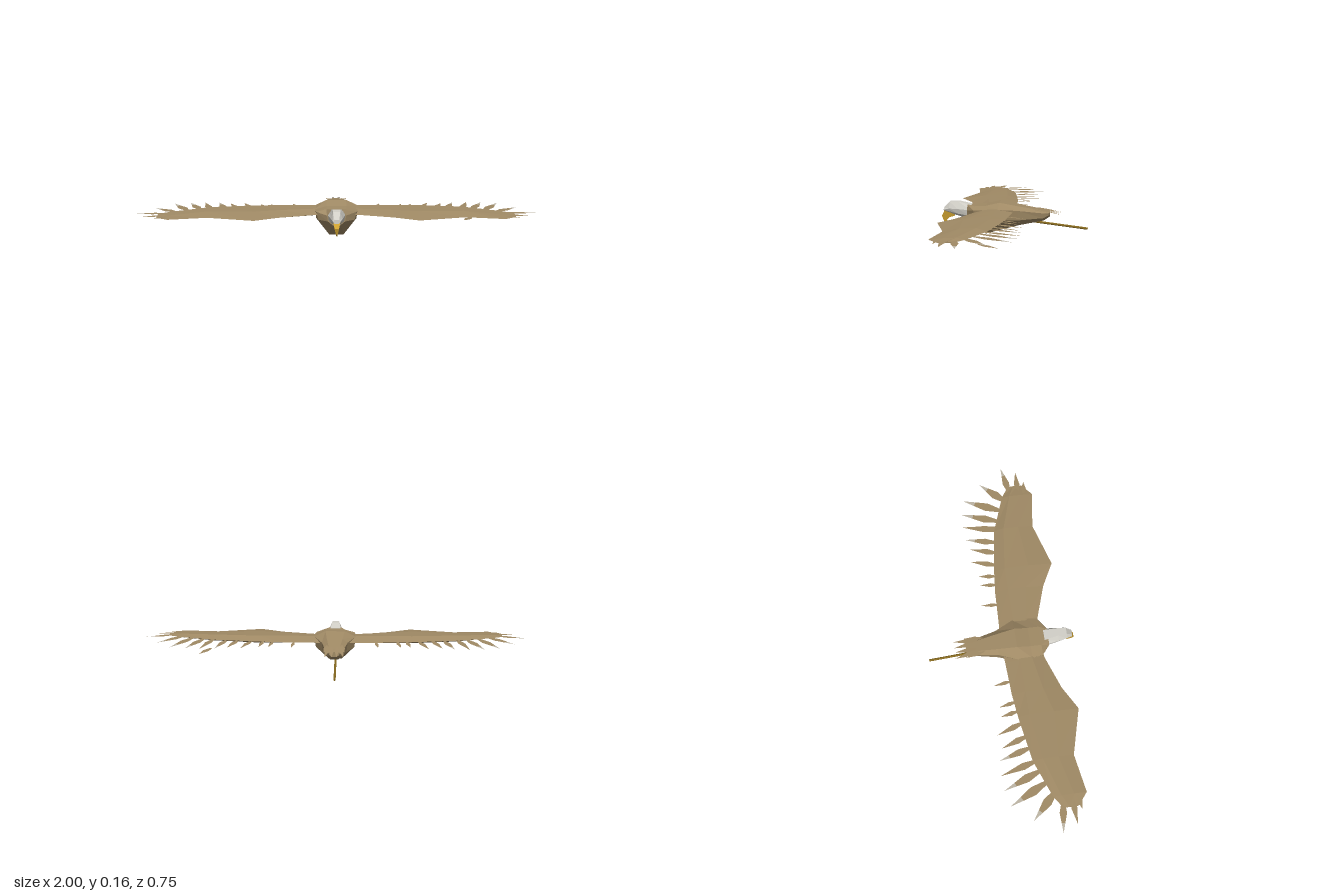
import * as THREE from 'three';

const mat = (name, color, side = THREE.FrontSide) => {
  const m = new THREE.MeshStandardMaterial({ color, side });
  m.name = name;
  return m;
};

// Faceted skin over equal-length rings of [x, y, z], capped at both ends
function loft(rings) {
  const pos = [];
  const tri = (a, b, c) => pos.push(...a, ...b, ...c);
  const n = rings[0].length;
  for (let r = 0; r < rings.length - 1; r++) {
    for (let i = 0; i < n; i++) {
      const j = (i + 1) % n;
      const [a, b, c, d] = [rings[r][i], rings[r][j], rings[r + 1][j], rings[r + 1][i]];
      tri(a, b, c);
      tri(a, c, d);
    }
  }
  const first = rings[0], last = rings[rings.length - 1];
  for (let i = 1; i < n - 1; i++) {
    tri(first[0], first[i + 1], first[i]);
    tri(last[0], last[i], last[i + 1]);
  }
  const g = new THREE.BufferGeometry();
  g.setAttribute('position', new THREE.Float32BufferAttribute(pos, 3));
  g.computeVertexNormals();
  return g;
}

// Symmetric ring at z from a half profile running top to bottom
const ringAt = ([z, ...half]) => [
  ...half.map(([x, y]) => [x, y, z]),
  ...half.slice().reverse().map(([x, y]) => [-x, y, z]),
];

// Thin pointed feather from base to tip; group 0 is the vane, group 1 the tip
function feather(base, tip, width) {
  const a = new THREE.Vector3(...base), b = new THREE.Vector3(...tip);
  const side = new THREE.Vector3(b.z - a.z, 0, a.x - b.x).normalize();
  const rows = [[0, 0.35], [0.4, 1], [0.7, 0.5], [1, 0]].map(([t, w]) => {
    const p = a.clone().lerp(b, t);
    const s = side.clone().multiplyScalar(w * width / 2);
    return [p.clone().add(s).toArray(), p.clone().sub(s).toArray()];
  });
  const pos = [];
  for (let i = 0; i < 3; i++) {
    const [l0, r0] = rows[i], [l1, r1] = rows[i + 1];
    pos.push(...l0, ...l1, ...r0);
    if (i < 2) pos.push(...r0, ...l1, ...r1);
  }
  const g = new THREE.BufferGeometry();
  g.setAttribute('position', new THREE.Float32BufferAttribute(pos, 3));
  g.computeVertexNormals();
  // Keep the upper side as the front
  if (g.attributes.normal.getY(0) < 0) {
    return feather(base, tip, -width);
  }
  g.addGroup(0, 12, 0);
  g.addGroup(12, 3, 1);
  return g;
}

export function createModel() {
  const model = new THREE.Group();
  model.name = 'bird';
  const brown = mat('brown plumage', 0xa08a65);
  const vane = mat('feather brown', 0xa08a65, THREE.DoubleSide);
  const pale = mat('pale feather tip', 0xbdb5a4, THREE.DoubleSide);
  const white = mat('white head', 0xd2d0c8);
  const yellow = mat('yellow beak', 0xd4a733);
  const ochre = mat('ochre leg', 0x86691f);
  const add = (name, geo, material, parent = model) => {
    const m = new THREE.Mesh(geo, material);
    m.name = name;
    parent.add(m);
    return m;
  };

  // Body, neck to tail stump
  add('body', loft([
    [0.24, [0.028, 0.148], [0.047, 0.12], [0.042, 0.09], [0.015, 0.068]],
    [0.2, [0.05, 0.143], [0.1, 0.13], [0.09, 0.09], [0.03, 0.042]],
    [0.145, [0.05, 0.146], [0.108, 0.13], [0.1, 0.085], [0.035, 0]],
    [0.075, [0.05, 0.163], [0.108, 0.135], [0.1, 0.08], [0.035, 0.02]],
    [-0.02, [0.04, 0.145], [0.066, 0.125], [0.06, 0.075], [0.03, 0.045]],
    [-0.15, [0.025, 0.122], [0.04, 0.11], [0.035, 0.085], [0.018, 0.07]],
    [-0.18, [0.018, 0.117], [0.028, 0.11], [0.024, 0.1], [0.012, 0.09]],
  ].map(ringAt)), brown);

  // Head
  add('head', loft([
    [0.365, [0.012, 0.127], [0.018, 0.118], [0.014, 0.112], [0.008, 0.107]],
    [0.335, [0.017, 0.16], [0.028, 0.125], [0.022, 0.11], [0.01, 0.1]],
    [0.29, [0.02, 0.162], [0.036, 0.125], [0.03, 0.1], [0.012, 0.088]],
    [0.22, [0.027, 0.146], [0.045, 0.12], [0.04, 0.09], [0.015, 0.066]],
  ].map(ringAt)), white);

  // Hooked beak, narrowing downwards
  const outline = [[0.315, 0.108], [0.31, 0.085], [0.335, 0.078], [0.352, 0.064],
    [0.34, 0.041], [0.366, 0.056], [0.376, 0.085], [0.362, 0.113]];
  const beak = new THREE.ExtrudeGeometry(
    new THREE.Shape(outline.map(p => new THREE.Vector2(...p))),
    { depth: 0.032, bevelEnabled: false });
  beak.rotateY(-Math.PI / 2).translate(0.016, 0, 0);
  const bp = beak.attributes.position;
  for (let i = 0; i < bp.count; i++) {
    bp.setX(i, bp.getX(i) * Math.max(0.15, (bp.getY(i) - 0.035) / 0.075));
  }
  beak.computeVertexNormals();
  add('beak', beak, yellow);

  // Wings: x, trailing z, ridge z, leading z, top y, bottom y
  const sections = [
    [0.05, 0, 0.08, 0.2, 0.137, 0.1],
    [0.11, 0.005, 0.08, 0.207, 0.137, 0.1],
    [0.28, 0.012, 0.08, 0.265, 0.137, 0.1],
    [0.4, 0.025, 0.08, 0.33, 0.137, 0.1],
    [0.63, 0.06, 0.11, 0.265, 0.135, 0.103],
    [0.82, 0.13, 0.17, 0.295, 0.125, 0.108],
    [0.88, 0.17, 0.2, 0.245, 0.118, 0.112],
  ];
  // Flight feathers: base x, z, tip x, z, width, pale tip
  const flight = [
    [0.21, 0.02, 0.22, -0.07, 0.02, 0], [0.32, 0.03, 0.335, -0.06, 0.022, 0],
    [0.37, 0.03, 0.385, -0.06, 0.024, 0], [0.43, 0.05, 0.475, -0.09, 0.03, 0],
    [0.5, 0.06, 0.545, -0.08, 0.032, 0], [0.56, 0.07, 0.605, -0.1, 0.034, 1],
    [0.63, 0.09, 0.68, -0.105, 0.036, 0], [0.68, 0.1, 0.755, -0.1, 0.042, 1],
    [0.74, 0.12, 0.835, -0.08, 0.046, 1], [0.79, 0.15, 0.92, 0.02, 0.046, 1],
    [0.84, 0.175, 1, 0.15, 0.036, 1], [0.84, 0.22, 0.965, 0.225, 0.03, 0],
    [0.83, 0.25, 0.9, 0.26, 0.026, 0],
  ];
  for (const s of [1, -1]) {
    const wing = new THREE.Group();
    wing.name = s > 0 ? 'leftWing' : 'rightWing';
    model.add(wing);
    add('wingPanel', loft(sections.map(([x, zt, zr, zl, top, bot]) => {
      const mid = (top + bot) / 2;
      const ring = [[zt, mid], [zr, top], [(zr + zl) / 2, top - 0.004], [zl, mid - 0.003],
        [(zr + zl) / 2, bot], [zr, bot]].map(([z, y]) => [s * x, y, z]);
      return s > 0 ? ring : ring.reverse();
    })), brown, wing);
    flight.forEach(([bx, bz, tx, tz, w, light]) => add('flightFeather',
      feather([s * bx, 0.118, bz], [s * tx, 0.111, tz], w), [vane, light ? pale : vane], wing));
  }

  // Loose feather hanging below the left wing
  add('looseFeather', feather([0.65, 0.064, 0.1], [0.7, 0.056, 0], 0.036), [vane, vane]);

  // Tail fan and short coverts along the rump
  for (const s of [1, -1]) {
    [[0.015, -0.13, 0.012, -0.24, 0.024], [0.028, -0.12, 0.045, -0.24, 0.026],
      [0.035, -0.09, 0.052, -0.19, 0.022], [0.02, -0.09, 0.03, -0.18, 0.022]]
      .forEach(([bx, bz, tx, tz, w]) => add('tailFeather',
        feather([s * bx, 0.13, bz], [s * tx, 0.13 + (tz + 0.11) * 0.19, tz], w), [vane, vane]));
  }

  // Trailing leg rod
  const a = new THREE.Vector3(-0.006, 0.066, -0.06), b = new THREE.Vector3(-0.006, 0.028, -0.374);
  const leg = add('leg', new THREE.CylinderGeometry(0.006, 0.006, a.distanceTo(b), 6).toNonIndexed(), ochre);
  leg.geometry.computeVertexNormals();
  leg.position.copy(a).lerp(b, 0.5);
  leg.quaternion.setFromUnitVectors(new THREE.Vector3(0, 1, 0), b.clone().sub(a).normalize());

  return model;
}
